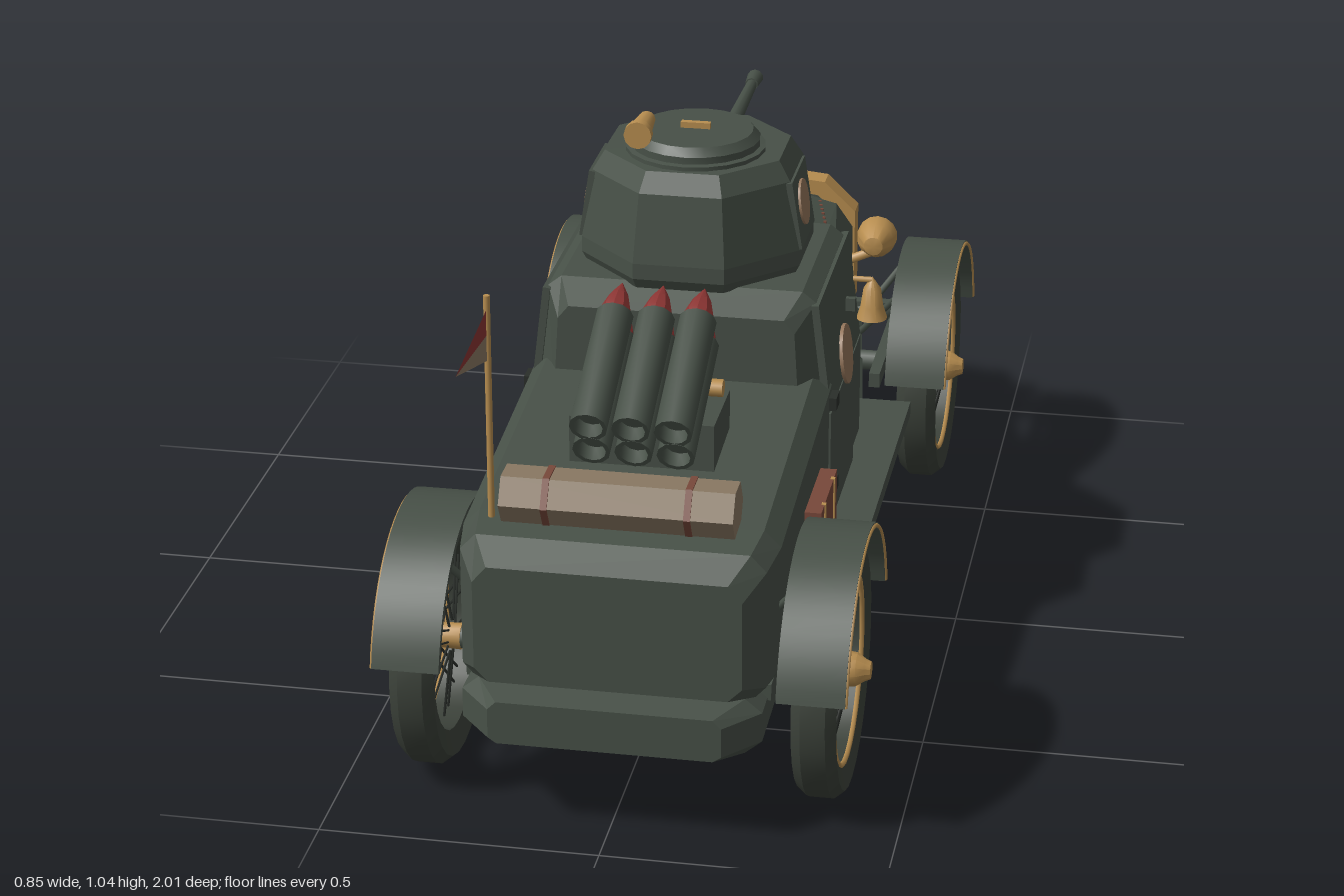
import * as THREE from 'three';
import { mergeGeometries, toCreasedNormals } from 'three/addons/utils/BufferGeometryUtils.js';

const mat = (name, color, double) => {
  const m = new THREE.MeshStandardMaterial({ color });
  m.name = name;
  if (double) m.side = THREE.DoubleSide;
  return m;
};
const V = (x, y, z) => new THREE.Vector3(x, y, z);

export function createModel() {
  const armour = mat('armour green', 0x475047), tyreMat = mat('tyre grey', 0x3c423a), iron = mat('dark iron', 0x2a2e2a);
  const brass = mat('brass', 0xb88e50), red = mat('red', 0x8a3432), canvas = mat('canvas tan', 0x897862);
  const leather = mat('leather brown', 0x78483a), badge = mat('badge tan', 0x94755a);
  const flagRed = mat('flag red', 0x8a3432, true), flagTan = mat('flag tan', 0x897862, true);
  const root = new THREE.Group();
  root.name = 'armouredCar';

  const add = (name, geo, m, x = 0, y = 0, z = 0, parent = root) => {
    const mesh = new THREE.Mesh(geo, m);
    mesh.name = name;
    mesh.position.set(x, y, z);
    parent.add(mesh);
    return mesh;
  };
  const flat = (geo) => {
    const g = geo.index ? geo.toNonIndexed() : geo;
    g.computeVertexNormals();
    return g;
  };
  const box = (name, w, h, d, m, x, y, z, parent) => add(name, new THREE.BoxGeometry(w, h, d), m, x, y, z, parent);
  const lathe = (pts, n, phi = 0) => new THREE.LatheGeometry(pts.map((p) => new THREE.Vector2(...p)), n, phi);
  // cylinder between two points
  const rodGeo = (a, b, r0, r1 = r0, n = 8) => {
    const d = b.clone().sub(a), g = new THREE.CylinderGeometry(r1, r0, d.length(), n);
    g.applyQuaternion(new THREE.Quaternion().setFromUnitVectors(V(0, 1, 0), d.normalize()));
    return g.translate((a.x + b.x) / 2, (a.y + b.y) / 2, (a.z + b.z) / 2);
  };
  const rod = (name, a, b, r0, m, r1, n, parent) => add(name, rodGeo(a, b, r0, r1, n), m, 0, 0, 0, parent);
  // loft of mirrored half sections [z, [x, y]...] listed bottom to top, from -z to +z
  const loft = (sections) => {
    const rings = sections.map(([z, ...h]) => [...h.map(([x, y]) => [x, y, z]), ...h.slice().reverse().map(([x, y]) => [-x, y, z])]);
    const pos = [], n = rings[0].length, last = rings[rings.length - 1];
    const tri = (a, b, c) => pos.push(...a, ...b, ...c);
    for (let i = 0; i + 1 < rings.length; i++) for (let j = 0; j < n; j++) {
      const k = (j + 1) % n, p = rings[i], q = rings[i + 1];
      tri(p[j], p[k], q[k]);
      tri(p[j], q[k], q[j]);
    }
    for (let j = 1; j + 1 < n; j++) {
      tri(last[0], last[j], last[j + 1]);
      tri(rings[0][0], rings[0][j + 1], rings[0][j]);
    }
    const g = new THREE.BufferGeometry();
    g.setAttribute('position', new THREE.Float32BufferAttribute(pos, 3));
    g.computeVertexNormals();
    return g;
  };

  // hull, cabin and bonnet
  const low = (z, w, c = 0.03) => [z, [w - c, 0.16], [w, 0.185], [w, 0.24], [w - c, 0.265]];
  add('chassisHull', loft([low(-0.93, 0.18), low(-0.45, 0.25), low(0.88, 0.265), [0.95, [0.19, 0.175], [0.205, 0.185], [0.205, 0.24], [0.19, 0.255]]]), armour);
  add('rearHull', loft([
    [0.2, [0.27, 0.26], [0.28, 0.28], [0.28, 0.565], [0.25, 0.595]],
    [0.78, [0.27, 0.26], [0.28, 0.28], [0.28, 0.51], [0.25, 0.54]],
    [0.86, [0.25, 0.26], [0.268, 0.28], [0.268, 0.5], [0.24, 0.53]],
    [0.915, [0.21, 0.275], [0.235, 0.3], [0.235, 0.465], [0.21, 0.495]]]), armour);
  add('cabinBase', loft([[-0.235, [0.25, 0.26], [0.26, 0.42]], [-0.135, [0.275, 0.26], [0.275, 0.42]], [0.22, [0.275, 0.26], [0.275, 0.42]]]), armour);
  add('cabinAndBonnet', loft([
    [-0.875, [0.165, 0.41], [0.165, 0.455], [0.13, 0.505], [0.05, 0.525]],
    [-0.38, [0.22, 0.41], [0.22, 0.55], [0.2, 0.59], [0.17, 0.6]],
    [-0.135, [0.27, 0.41], [0.27, 0.52], [0.25, 0.73], [0.225, 0.75]],
    [0.21, [0.275, 0.41], [0.275, 0.52], [0.25, 0.73], [0.225, 0.75]],
    [0.27, [0.23, 0.41], [0.23, 0.52], [0.22, 0.69], [0.2, 0.715]]]), armour);
  add('bonnetSides', loft([[-0.875, [0.165, 0.3], [0.165, 0.42]], [-0.3, [0.228, 0.3], [0.228, 0.42]]]), armour);

  // radiator
  const arch = (w, b, sh, t, C) => {
    const s = new C();
    [[-w, b], [w, b], [w, sh], [w * 0.62, t - 0.01], [0, t], [-w * 0.62, t - 0.01], [-w, sh]].forEach(([x, y], i) => (i ? s.lineTo(x, y) : s.moveTo(x, y)));
    s.closePath();
    return s;
  };
  const frame = arch(0.17, 0.29, 0.49, 0.562, THREE.Shape);
  frame.holes.push(arch(0.145, 0.315, 0.477, 0.532, THREE.Path));
  add('radiatorFrame', new THREE.ExtrudeGeometry(frame, { depth: 0.05, bevelEnabled: false }), brass, 0, 0, -0.92);
  add('radiatorGrille', new THREE.ExtrudeGeometry(arch(0.15, 0.31, 0.48, 0.535, THREE.Shape), { depth: 0.02, bevelEnabled: false }), armour, 0, 0, -0.9);
  box('radiatorBar', 0.012, 0.22, 0.01, brass, 0, 0.422, -0.905);
  for (let i = -6; i <= 6; i++) if (i) box('grilleSlat', 0.005, 0.17, 0.006, iron, i * 0.02, 0.4, -0.902);
  add('radiatorCap', new THREE.CylinderGeometry(0.018, 0.022, 0.035, 10), brass, 0, 0.575, -0.895);

  // windscreen flaps, following the slope
  const screen = new THREE.Group();
  screen.name = 'windscreen';
  screen.position.set(0, 0.656, -0.292);
  screen.rotation.x = -0.549;
  root.add(screen);
  for (const s of [-1, 1]) {
    for (const e of [-1, 1]) {
      box('windowFrameBar', 0.17, 0.012, 0.012, brass, s * 0.102, 0.003, e * 0.038, screen);
      box('windowFrameEnd', 0.012, 0.012, 0.088, brass, s * 0.102 + e * 0.08, 0.003, 0, screen);
    }
    box('windowFlap', 0.15, 0.008, 0.066, armour, s * 0.102, 0.002, 0, screen);
    box('visionSlit', 0.11, 0.002, 0.01, iron, s * 0.102, 0.007, -0.005, screen);
  }

  // turret
  const ap = 1 / Math.cos(Math.PI / 8);
  add('turret', flat(lathe([[0, 0.745], [0.195, 0.745], [0.205, 0.765], [0.205, 0.795], [0.185, 0.925], [0.163, 0.962], [0, 0.965]].map(([r, y]) => [r * ap, y]), 8, Math.PI / 8)), armour, 0, 0, 0.035);
  add('hatch', toCreasedNormals(lathe([[0, 0.955], [0.13, 0.955], [0.13, 0.97], [0.12, 0.972], [0.12, 0.985], [0.107, 1], [0, 1.001]], 20), 0.5), armour, 0, 0, 0.06);
  box('hatchHandle', 0.055, 0.012, 0.012, brass, 0, 1.006, 0.06);
  rod('spotlight', V(-0.09, 1.015, 0.07), V(-0.09, 1.015, 0.16), 0.016, brass, 0.024, 12);
  rod('spotlightRim', V(-0.09, 1.015, 0.145), V(-0.09, 1.015, 0.162), 0.026, brass, 0.026, 12);
  box('spotlightBase', 0.022, 0.04, 0.03, brass, -0.088, 0.99, 0.11);
  box('mantlet', 0.17, 0.075, 0.09, armour, 0, 0.865, -0.16);
  rod('gunSleeve', V(0, 0.865, -0.2), V(0, 0.867, -0.34), 0.024, armour, 0.019, 10);
  rod('gunBarrel', V(0, 0.867, -0.33), V(0, 0.87, -0.6), 0.015, armour, 0.01, 10);
  rod('muzzle', V(0, 0.87, -0.56), V(0, 0.87, -0.605), 0.013, armour, 0.016, 10);

  for (const s of [-1, 1]) {
    const disc = (name, r, x, y, z, tilt) => {
      add(name, new THREE.CylinderGeometry(r, r, 0.008, 16), badge, s * x, y, z).rotation.z = -s * (Math.PI / 2 - tilt);
    };
    box('turretSidePlate', 0.012, 0.13, 0.15, armour, s * 0.194, 0.86, 0.045).rotation.z = s * 0.153;
    disc('turretBadge', 0.043, 0.2, 0.865, 0.05, 0.153);
    // door, hinges and badge
    box('doorUpper', 0.014, 0.21, 0.38, armour, s * 0.263, 0.625, 0.035).rotation.z = s * 0.119;
    box('doorLower', 0.014, 0.2, 0.385, armour, s * 0.277, 0.42, 0.04);
    disc('doorBadge', 0.057, 0.281, 0.555, 0.027, 0.119);
    for (const y of [0.37, 0.54]) box('doorHinge', 0.02, 0.025, 0.04, iron, s * 0.284, y, 0.215);
    box('doorHandle', 0.018, 0.025, 0.012, armour, s * 0.285, 0.645, 0.0);
    // side lockers with straps
    box('sideLocker', 0.035, 0.15, 0.19, leather, s * 0.293, 0.38, 0.425);
    for (const z of [0.37, 0.48]) box('lockerStrap', 0.008, 0.152, 0.01, brass, s * 0.309, 0.38, z);
    // running boards
    box('runningBoard', 0.11, 0.03, 0.82, armour, s * 0.295, 0.245, -0.02);
    // headlamps
    const lamp = add('headlamp', toCreasedNormals(lathe([[0, 0], [0.02, 0.005], [0.038, 0.04], [0.042, 0.06], [0.042, 0.075], [0.032, 0.075], [0, 0.068]], 14), 0.6), brass, s * 0.215, 0.43, -0.825);
    lamp.rotation.x = -Math.PI / 2;
    rod('headlampBracket', V(s * 0.15, 0.38, -0.86), V(s * 0.215, 0.41, -0.86), 0.01, brass);
    // front bumper mounts and hooks
    box('bumperMount', 0.03, 0.04, 0.08, armour, s * 0.13, 0.22, -0.945);
    add('bumperBoss', new THREE.SphereGeometry(0.03, 10, 6), armour, s * 0.2, 0.225, -0.968).scale.set(1.5, 0.8, 0.7);
    add('towHook', new THREE.TorusGeometry(0.02, 0.005, 6, 12), brass, s * 0.13, 0.195, -0.985).rotation.y = Math.PI / 2;
    // bonnet rivets
    for (let i = 0; i < 12; i++) {
      const t = i / 11;
      box('bonnetRivet', 0.006, 0.006, 0.006, leather, s * (0.19 - 0.09 * t), 0.597 - 0.078 * t, -0.39 - 0.45 * t);
    }
  }
  box('bumper', 0.53, 0.035, 0.025, armour, 0, 0.232, -0.972);

  // wheels, springs and mudguards
  const tyre = toCreasedNormals(lathe([[0.17, -0.03], [0.215, -0.04], [0.23, -0.022], [0.23, 0.022], [0.215, 0.04], [0.17, 0.03], [0.17, -0.03]], 28), 0.5);
  const spokes = mergeGeometries(Array.from({ length: 24 }, (_, i) => {
    const a = (i / 24) * Math.PI * 2, b = a + (i % 2 ? 0.3 : -0.3), y = i % 4 < 2 ? 0.03 : -0.02;
    return rodGeo(V(0.028 * Math.cos(a), y, 0.028 * Math.sin(a)), V(0.173 * Math.cos(b), 0, 0.173 * Math.sin(b)), 0.0025, 0.0025, 4);
  }));
  const hub = toCreasedNormals(lathe([[0, -0.04], [0.024, -0.04], [0.022, 0.02], [0.032, 0.03], [0.03, 0.045], [0.02, 0.06], [0.016, 0.07], [0, 0.072]], 12), 0.6);
  const rim = new THREE.TorusGeometry(0.172, 0.005, 5, 28).rotateX(Math.PI / 2);
  const a0 = 0.22, a1 = Math.PI - a0;
  const guardShape = new THREE.Shape();
  guardShape.absarc(0, 0, 0.262, a0, a1, false);
  guardShape.absarc(0, 0, 0.25, a1, a0, true);
  const guard = toCreasedNormals(new THREE.ExtrudeGeometry(guardShape, { depth: 0.12, bevelEnabled: false, curveSegments: 14 }).rotateY(Math.PI / 2), 0.5);
  const trim = new THREE.TorusGeometry(0.256, 0.004, 5, 24, a1 - a0).rotateZ(a0).rotateY(Math.PI / 2);
  for (const z of [-0.695, 0.672]) {
    rod('axle', V(-0.33, 0.23, z), V(0.33, 0.23, z), 0.022, armour);
    for (const s of [-1, 1]) {
      const w = new THREE.Group();
      w.name = 'wheel';
      w.position.set(s * 0.355, 0.23, z);
      w.rotation.z = -s * Math.PI / 2;
      root.add(w);
      add('tyre', tyre, tyreMat, 0, 0, 0, w);
      add('spokes', spokes, iron, 0, 0, 0, w);
      add('hub', hub, brass, 0, 0, 0, w);
      add('rim', rim, brass, 0, 0.029, 0, w);
      add('mudguard', guard, armour, s > 0 ? 0.295 : -0.415, 0.23, z);
      add('mudguardTrim', trim, brass, s * 0.415, 0.23, z);
      for (const e of [-1, 1]) rod('mudguardStay', V(s * 0.2, 0.3, z + e * 0.06), V(s * 0.31, 0.44, z + e * 0.13), 0.007, armour);
      box('leafSpring', 0.022, 0.03, 0.3, armour, s * 0.26, 0.25, z);
    }
  }

  // rocket rack, two rows of three
  box('rackBase', 0.26, 0.09, 0.16, armour, 0, 0.6, 0.517);
  for (const s of [-1, 1]) rod('rackPivot', V(s * 0.1, 0.665, 0.475), V(s * 0.125, 0.665, 0.475), 0.016, brass, 0.016, 10);
  const dir = V(0, 0.423, -0.906);
  const tube = toCreasedNormals(lathe([[0, 0.03], [0.026, 0.03], [0.026, 0], [0.034, 0], [0.034, 0.265], [0, 0.265]], 12), 0.6);
  const tip = toCreasedNormals(lathe([[0.027, 0.26], [0.027, 0.28], [0.018, 0.31], [0, 0.345]], 10), 0.6);
  for (const [y, z] of [[0.67, 0.695], [0.615, 0.67]]) for (const x of [-0.075, 0, 0.075]) {
    const r = new THREE.Group();
    r.name = 'rocket';
    r.position.set(x, y, z);
    r.quaternion.setFromUnitVectors(V(0, 1, 0), dir);
    root.add(r);
    add('launchTube', tube, armour, 0, 0, 0, r);
    add('rocketTip', tip, red, 0, 0, 0, r);
  }

  // bedroll with straps
  const roll = (r, len) => flat(new THREE.CylinderGeometry(r, r, len, 6).rotateZ(Math.PI / 2));
  add('bedroll', roll(0.052, 0.41), canvas, 0, 0.575, 0.785);
  for (const s of [-1, 1]) add('bedrollStrap', roll(0.055, 0.012), leather, s * 0.125, 0.575, 0.785);

  // pennant
  rod('flagPole', V(-0.225, 0.5, 0.8), V(-0.225, 0.95, 0.8), 0.006, brass);
  const pennant = (y) => {
    const g = new THREE.BufferGeometry();
    g.setAttribute('position', new THREE.Float32BufferAttribute([-0.225, y, 0.8, -0.225, 0.878, 0.8, -0.235, 0.872, 1], 3));
    g.computeVertexNormals();
    return g;
  };
  const upper = pennant(0.925);
  upper.attributes.position.setXYZ(2, -0.232, 0.885, 1);
  add('flagTop', upper, flagRed);
  const lower = pennant(0.83);
  lower.attributes.position.setXYZ(2, -0.232, 0.885, 1);
  add('flagBottom', lower, flagTan);

  // alarm bell on its bracket
  add('bell', toCreasedNormals(lathe([[0, 0], [0.024, 0.002], [0.03, 0], [0.022, 0.025], [0.017, 0.06], [0.008, 0.074], [0, 0.085]], 14), 0.7), brass, 0.305, 0.557, -0.15);
  rod('bellBracket', V(0.24, 0.635, -0.15), V(0.305, 0.635, -0.15), 0.006, brass);
  return root;
}
